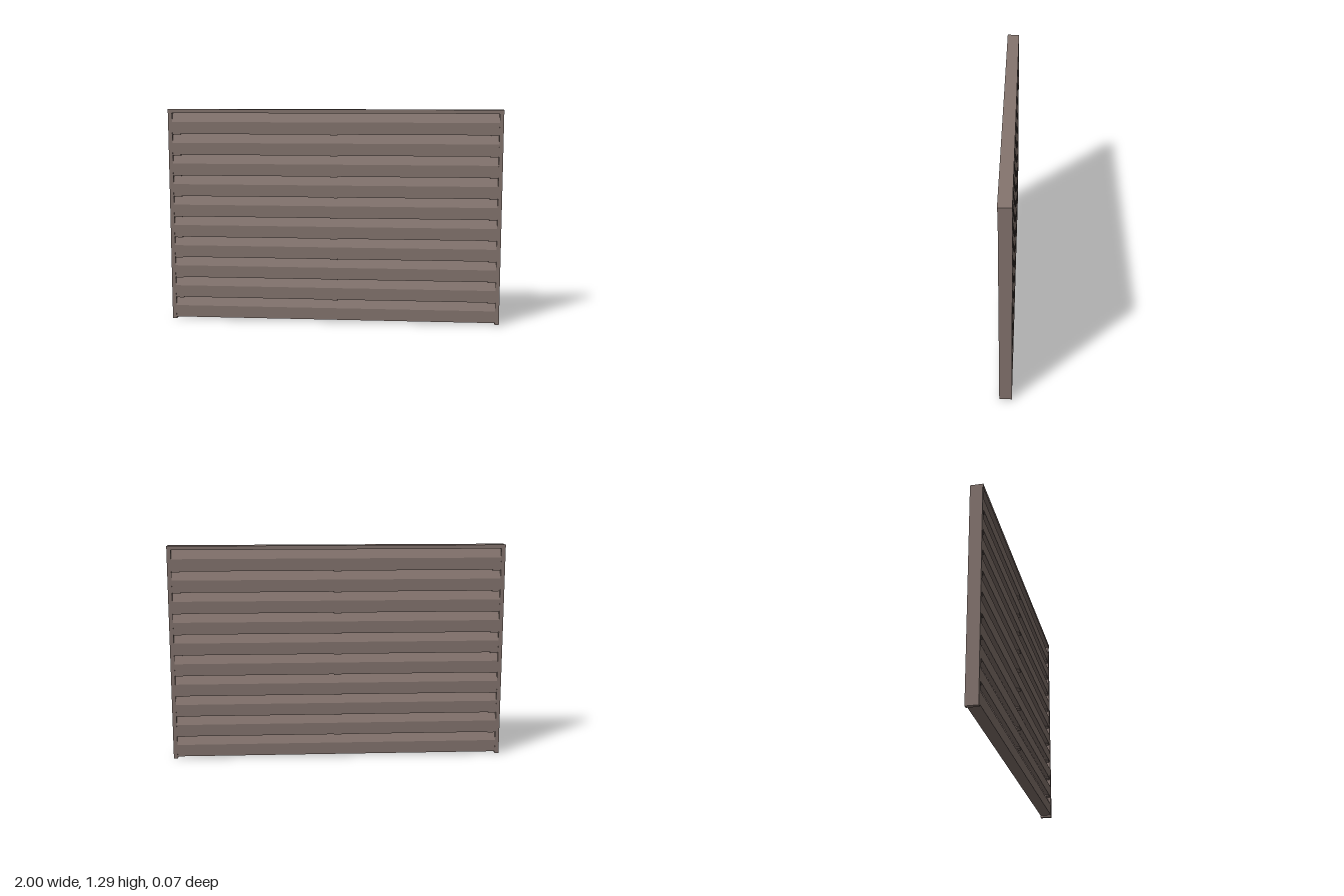
import * as THREE from 'three';

export function createModel() {
  const fence = new THREE.Group();
  fence.name = 'louvredFence';
  const material = new THREE.MeshStandardMaterial({ color: 0x85756f, flatShading: true });

  const add = (name, geometry, x, y, z) => {
    const mesh = new THREE.Mesh(geometry, material);
    mesh.name = name;
    mesh.position.set(x, y, z);
    fence.add(mesh);
    return mesh;
  };
  const box = (name, w, h, d, x, y, z) => add(name, new THREE.BoxGeometry(w, h, d), x, y, z);

  const count = 10, pitch = 0.1255, base = 0.012, inner = 0.976, centreZ = -0.0015;

  // End posts and the slightly deeper top rail
  for (const side of [-1, 1]) {
    box(side > 0 ? 'leftPost' : 'rightPost', 1 - inner, 1.267, 0.071,
      side * (1 + inner) / 2, 1.267 / 2, centreZ);
  }
  box('topRail', 2, 0.023, 0.074, 0, 1.2785, 0);

  // House-shaped slat section: upright faces, steep shoulders tucked under the next slat
  const section = new THREE.Shape([
    [-0.0345, 0], [0.0345, 0], [0.0345, 0.072], [0.007, pitch + 0.003],
    [-0.007, pitch + 0.003], [-0.0345, 0.072],
  ].map(([z, y]) => new THREE.Vector2(z, y)));
  const slat = new THREE.ExtrudeGeometry(section, { depth: 2 * inner, bevelEnabled: false });
  slat.translate(0, 0, -inner);
  slat.rotateY(Math.PI / 2);

  for (let i = 0; i < count; i++) {
    const y = base + i * pitch;
    add('slat', slat, 0, y, centreZ);
    // Small spacers under each slat, in the middle and at both ends
    if (i > 0) {
      for (const x of [-0.952, 0, 0.952]) box('spacer', 0.045, 0.006, 0.06, x, y - 0.002, centreZ);
    }
  }
  return fence;
}
